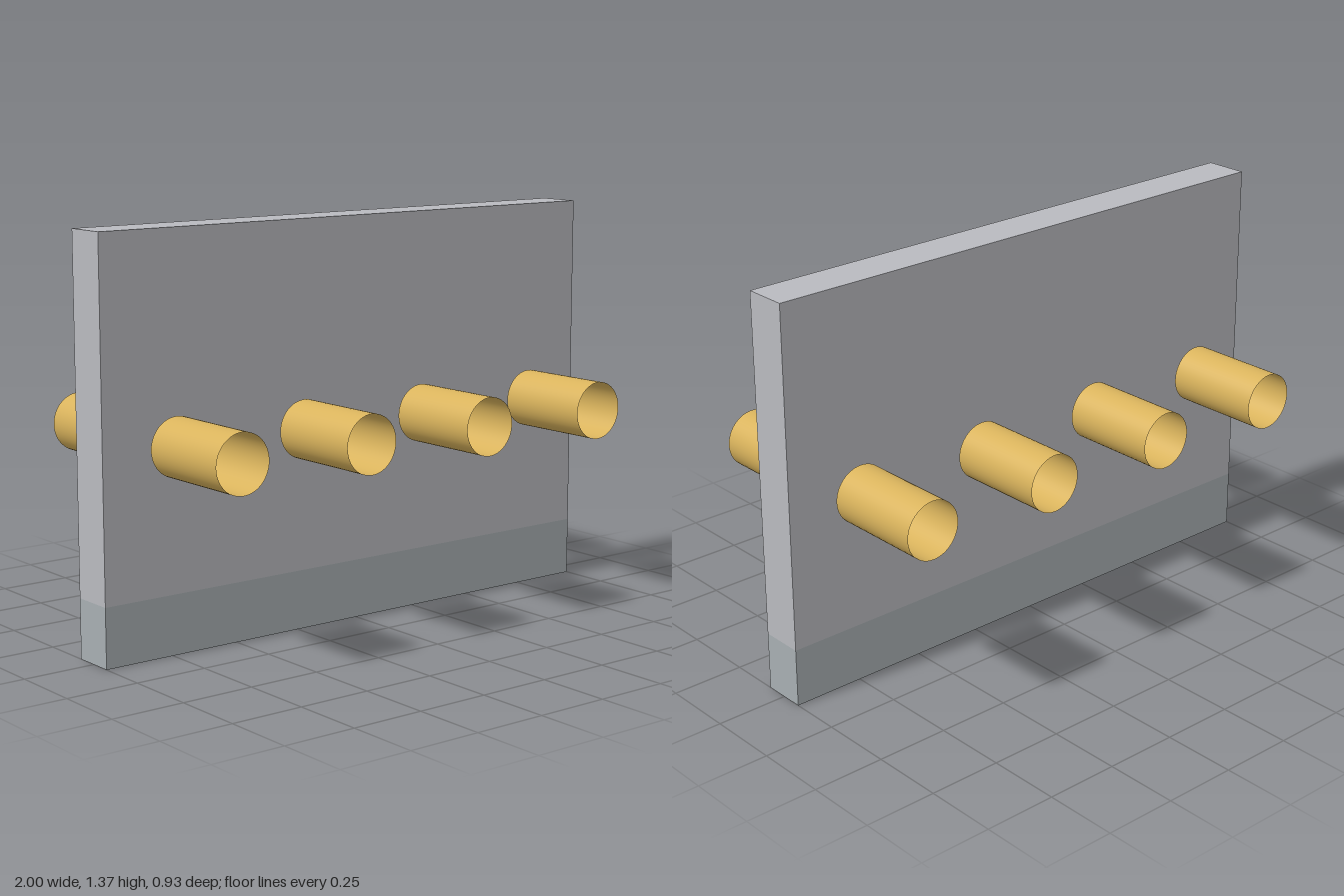
import * as THREE from 'three';

const WIDTH = 2, HEIGHT = 1.37, DEPTH = 0.15, BASE = 0.2;

export function createModel() {
  const model = new THREE.Group();
  model.name = 'wallWithTubes';

  const wallMat = new THREE.MeshStandardMaterial({ color: 0xb9babf });
  const baseMat = new THREE.MeshStandardMaterial({ color: 0xa8afb2 });
  const tubeMat = new THREE.MeshStandardMaterial({ color: 0xd9b35c, side: THREE.DoubleSide });

  // Upright slab: a wall standing on a slightly darker band
  const slab = (name, y0, y1, mat) => {
    const mesh = new THREE.Mesh(new THREE.BoxGeometry(WIDTH, y1 - y0, DEPTH), mat);
    mesh.name = name;
    mesh.position.y = (y0 + y1) / 2;
    model.add(mesh);
  };
  slab('baseBand', 0, BASE, baseMat);
  slab('wall', BASE, HEIGHT, wallMat);

  // Open, thin tubes in a row on each side, standing clear of the wall
  const tubeGeo = new THREE.CylinderGeometry(0.0985, 0.0985, 0.35, 48, 1, true);
  tubeGeo.rotateX(Math.PI / 2);
  for (const side of [1, -1]) {
    const row = new THREE.Group();
    row.name = side > 0 ? 'frontTubes' : 'backTubes';
    for (const x of [-0.75, -0.25, 0.25, 0.75]) {
      const tube = new THREE.Mesh(tubeGeo, tubeMat);
      tube.name = 'tube';
      tube.position.set(x, 0.686, side * 0.291);
      row.add(tube);
    }
    model.add(row);
  }

  return model;
}
